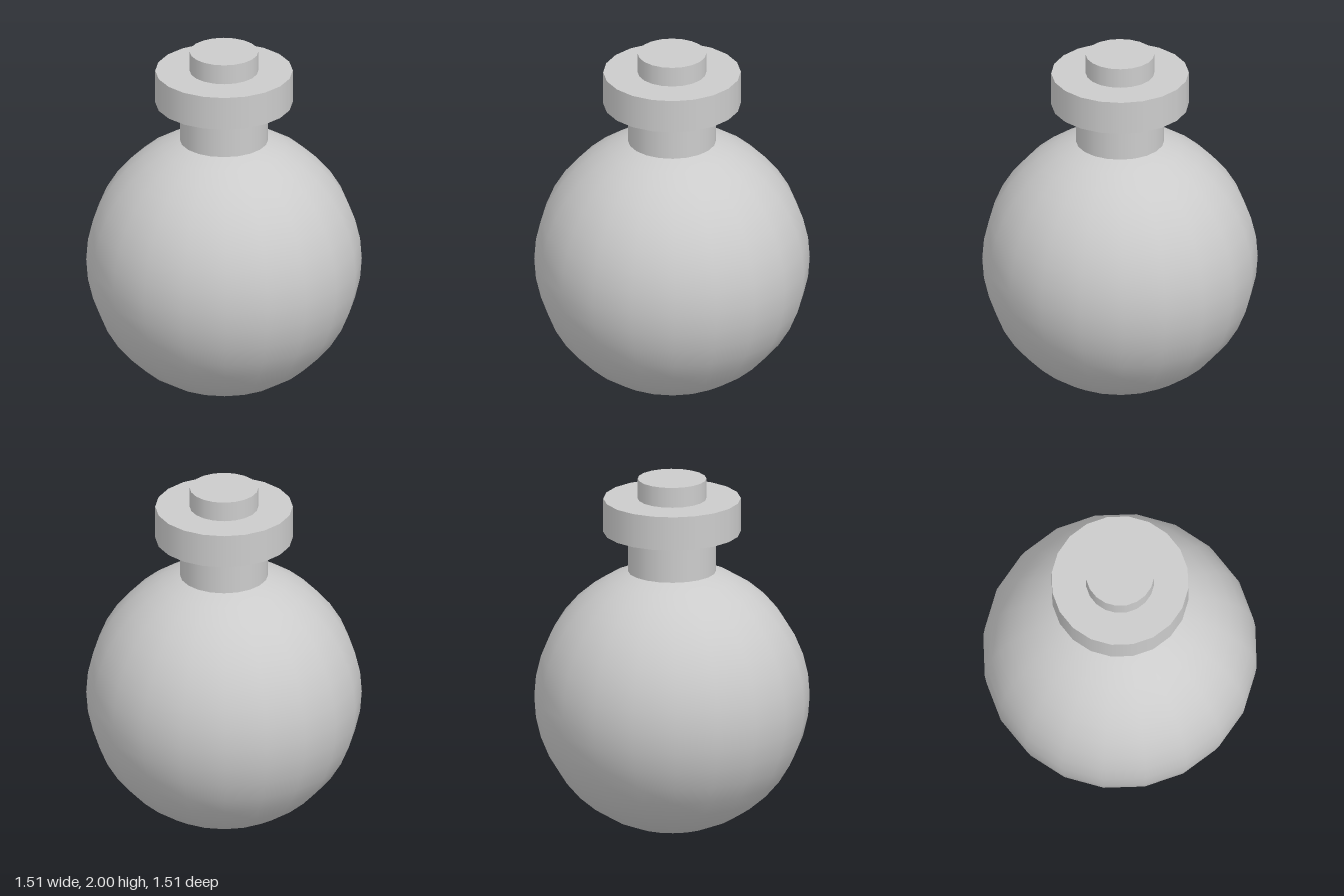
import * as THREE from 'three';

export function createModel() {
  const model = new THREE.Group();
  const material = new THREE.MeshStandardMaterial({ color: 0xcccccc });
  const sides = 20;
  const radius = 0.757;

  const add = (name, geometry, y) => {
    const mesh = new THREE.Mesh(geometry, material);
    mesh.name = name;
    mesh.position.y = y;
    model.add(mesh);
  };
  const addDisc = (name, r, bottom, top) =>
    add(name, new THREE.CylinderGeometry(r, r, top - bottom, sides), (bottom + top) / 2);

  // Round flask body, resting on its pole
  add('body', new THREE.SphereGeometry(radius, sides, sides), radius);

  // Neck sunk slightly into the body, then the wide lip and the stopper
  addDisc('neck', 0.243, 1.44, 1.697);
  addDisc('lip', 0.378, 1.697, 1.887);
  addDisc('stopper', 0.189, 1.887, 2);

  return model;
}
